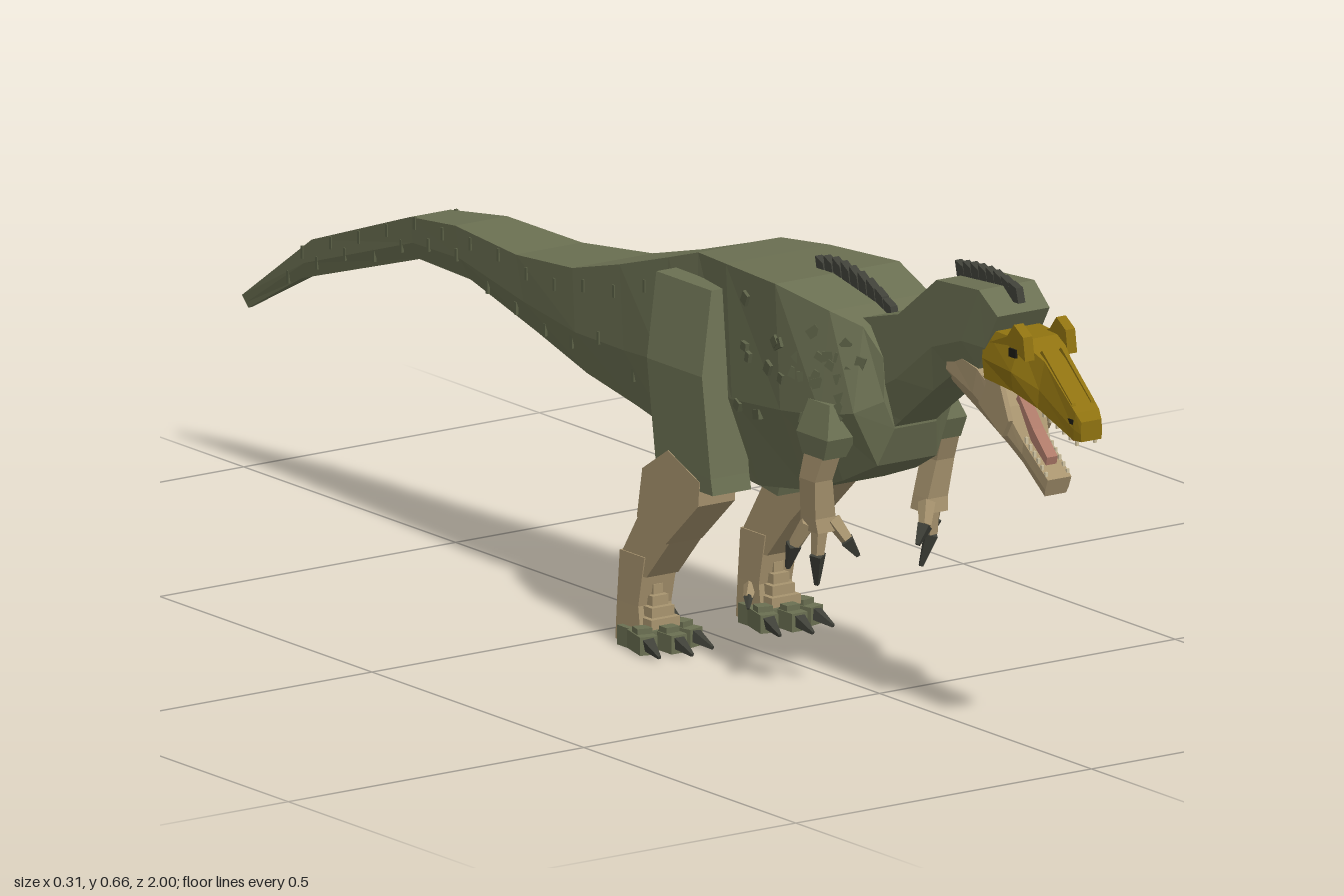
import * as THREE from 'three';

const mat = (name, color) => Object.assign(new THREE.MeshStandardMaterial({ color, flatShading: true }), { name });
const green = mat('hide green', 0x6b7052), darkGreen = mat('scale green', 0x5b6046);
const tan = mat('belly tan', 0xa8946f), gold = mat('mask gold', 0x8f7210);
const claw = mat('claw grey', 0x3f4038), pink = mat('mouth pink', 0xae7a69);
const ivory = mat('tooth ivory', 0xd0c3a0), black = mat('eye black', 0x1c1a14);

// Skin a list of rings, each counterclockwise about the direction of travel
function loft(rings) {
  const out = [], n = rings[0].length;
  const tri = (a, b, c) => out.push(...a, ...b, ...c);
  for (let i = 0; i < rings.length - 1; i++) {
    for (let j = 0; j < n; j++) {
      const k = (j + 1) % n, [r, s] = [rings[i], rings[i + 1]];
      tri(r[j], r[k], s[k]);
      tri(r[j], s[k], s[j]);
    }
  }
  const first = rings[0], last = rings[rings.length - 1];
  for (let j = 1; j < n - 1; j++) {
    tri(last[0], last[j], last[j + 1]);
    tri(first[0], first[j + 1], first[j]);
  }
  const g = new THREE.BufferGeometry();
  g.setAttribute('position', new THREE.Float32BufferAttribute(out, 3));
  g.computeVertexNormals();
  return g;
}

// Lengthwise body: [zTop, yTop, zBottom, yBottom, half widths at top, middle, bottom]
const trunk = (sections) => loft(sections.map(([zt, yt, zb, yb, wt, wm, wb]) => {
  const ym = yt + (yb - yt) * 0.6, zm = zt + (zb - zt) * 0.6;
  return [[wt, yt, zt], [-wt, yt, zt], [-wm, ym, zm], [-wb, yb, zb], [wb, yb, zb], [wm, ym, zm]];
}));

// Limb going down: [y, xInner, xOuter, zBack, zFront]
const limb = (sections) => loft(sections.map(([y, x0, x1, z0, z1]) =>
  [[x1, y, z1], [x0, y, z1], [x0, y, z0], [x1, y, z0]]));

// Flat side profile in (z, y), extruded across x
function slab(points, x, width) {
  const shape = new THREE.Shape(points.map(([z, y]) => new THREE.Vector2(z, y)));
  const g = new THREE.ExtrudeGeometry(shape, { depth: width, bevelEnabled: false });
  return g.rotateY(-Math.PI / 2).translate(x + width / 2, 0, 0);
}

const box = (w, h, d, x, y, z, rx = 0, ry = 0) =>
  new THREE.BoxGeometry(w, h, d).rotateX(rx).rotateY(ry).translate(x, y, z);

// Four-sided bar between two points, tapering from radius a to b
function bar(p, q, a, b) {
  const from = new THREE.Vector3(...p), dir = new THREE.Vector3(...q).sub(from);
  const g = new THREE.CylinderGeometry(b, a, dir.length(), 4).rotateY(Math.PI / 4);
  g.applyQuaternion(new THREE.Quaternion().setFromUnitVectors(new THREE.Vector3(0, 1, 0), dir.clone().normalize()));
  return g.translate(...from.addScaledVector(dir, 0.5).toArray());
}

function mirrored(geo) {
  const g = geo.index ? geo.toNonIndexed() : geo.clone();
  const p = g.attributes.position, a = new THREE.Vector3(), b = new THREE.Vector3();
  g.scale(-1, 1, 1);
  for (let i = 0; i < p.count; i += 3) {
    a.fromBufferAttribute(p, i + 1);
    b.fromBufferAttribute(p, i + 2);
    p.setXYZ(i + 1, b.x, b.y, b.z);
    p.setXYZ(i + 2, a.x, a.y, a.z);
  }
  g.computeVertexNormals();
  return g;
}

const BODY = [
  [-1, 0.245, -0.985, 0.23, 0.003, 0.003, 0.003],
  [-0.82, 0.364, -0.85, 0.302, 0.014, 0.014, 0.01],
  [-0.56, 0.455, -0.55, 0.396, 0.034, 0.034, 0.025],
  [-0.44, 0.47, -0.42, 0.396, 0.044, 0.044, 0.032],
  [-0.28, 0.465, -0.25, 0.36, 0.056, 0.056, 0.042],
  [-0.13, 0.48, -0.12, 0.33, 0.068, 0.068, 0.05],
  [-0.016, 0.51, 0, 0.31, 0.07, 0.07, 0.052],
  [0.1, 0.545, 0.08, 0.295, 0.07, 0.075, 0.055],
  [0.17, 0.567, 0.2, 0.272, 0.07, 0.085, 0.06],
  [0.26, 0.573, 0.3, 0.262, 0.088, 0.095, 0.06],
  [0.4, 0.577, 0.42, 0.282, 0.105, 0.105, 0.065],
  [0.5, 0.557, 0.5, 0.312, 0.085, 0.1, 0.062],
  [0.545, 0.54, 0.565, 0.345, 0.06, 0.085, 0.05],
  [0.575, 0.5, 0.585, 0.4, 0.047, 0.05, 0.035],
];

// Flank point at z, a fraction t of the way down from the back
function flank(z, t) {
  let i = 0;
  while (i < BODY.length - 2 && BODY[i + 1][0] < z) i++;
  const f = (z - BODY[i][0]) / (BODY[i + 1][0] - BODY[i][0]);
  const [, yt, , yb, wt, wm, wb] = BODY[i].map((v, k) => v + (BODY[i + 1][k] - v) * f);
  return [t < 0.6 ? wt + (wm - wt) * t / 0.6 : wm + (wb - wm) * (t - 0.6) / 0.4, yt + (yb - yt) * t, z];
}

export function createModel() {
  const model = new THREE.Group();
  const add = (name, geo, material) => {
    const m = new THREE.Mesh(geo, material);
    m.name = name;
    model.add(m);
  };
  const pair = (name, geo, material) => {
    add(name + 'Left', geo, material);
    add(name + 'Right', mirrored(geo), material);
  };

  // Torso with tail, belly keel and neck
  add('torsoAndTail', trunk(BODY), green);
  add('bellyKeel', slab([[0.065, 0.31], [0.075, 0.273], [0.25, 0.257], [0.315, 0.247], [0.33, 0.29]], 0, 0.08), green);
  add('neck', trunk([
    [0.5, 0.54, 0.53, 0.36, 0.047, 0.047, 0.035],
    [0.61, 0.57, 0.6, 0.415, 0.047, 0.047, 0.035],
    [0.7, 0.638, 0.68, 0.475, 0.047, 0.047, 0.038],
    [0.8, 0.645, 0.73, 0.51, 0.047, 0.047, 0.04],
    [0.84, 0.615, 0.79, 0.53, 0.044, 0.044, 0.04],
  ]), green);

  // Head: gold upper skull and snout, brow ridges, eyes
  add('skull', trunk([
    [0.8, 0.592, 0.81, 0.522, 0.038, 0.046, 0.045],
    [0.88, 0.588, 0.87, 0.515, 0.034, 0.046, 0.04],
    [0.92, 0.565, 0.91, 0.497, 0.022, 0.027, 0.026],
    [0.99, 0.507, 0.985, 0.467, 0.02, 0.021, 0.02],
    [1, 0.495, 1, 0.467, 0.017, 0.018, 0.017],
  ]), gold);
  pair('browRidge', slab([[0.82, 0.575], [0.865, 0.58], [0.905, 0.565], [0.9, 0.598], [0.878, 0.612], [0.862, 0.592]], 0.036, 0.016), gold);
  pair('snoutRidge', slab([[0.9, 0.57], [0.985, 0.505], [0.98, 0.518], [0.91, 0.578]], 0.016, 0.006), gold);
  pair('eye', box(0.004, 0.012, 0.016, 0.045, 0.572, 0.878), black);
  pair('nostril', box(0.003, 0.007, 0.012, 0.02, 0.493, 0.98), black);
  add('palate', slab([[0.84, 0.513], [0.91, 0.492], [0.98, 0.464], [0.98, 0.47], [0.84, 0.525]], 0, 0.032), pink);

  // Lower jaw, throat and tongue
  add('lowerJaw', trunk([
    [0.72, 0.545, 0.715, 0.495, 0.043, 0.043, 0.03],
    [0.79, 0.53, 0.77, 0.468, 0.043, 0.042, 0.028],
    [0.842, 0.485, 0.835, 0.43, 0.034, 0.033, 0.022],
    [0.87, 0.44, 0.865, 0.41, 0.022, 0.022, 0.019],
    [0.925, 0.397, 0.915, 0.372, 0.02, 0.02, 0.018],
  ]), tan);
  pair('cheek', slab([[0.78, 0.525], [0.84, 0.517], [0.86, 0.47], [0.845, 0.445], [0.79, 0.48]], 0.036, 0.008), tan);
  add('tongue', slab([[0.83, 0.485], [0.87, 0.436], [0.905, 0.412], [0.908, 0.424], [0.875, 0.457], [0.84, 0.5]], 0, 0.018), pink);
  for (let i = 0; i < 6; i++) {
    const f = i / 5;
    pair('lowerTooth', box(0.004, 0.01, 0.004, 0.018, 0.442 - 0.04 * f, 0.872 + 0.046 * f), ivory);
    pair('upperTooth', box(0.004, 0.01, 0.004, 0.019 - 0.004 * f, 0.49 - 0.026 * f, 0.915 + 0.072 * f), ivory);
  }

  // Spines on the nape and shoulders, leaning back
  const spine = (z, y, h) => add('spine', slab([[z - 0.008, y - 0.012], [z + 0.01, y - 0.012], [z + 0.004, y + h * 0.6], [z - 0.014, y + h]], 0, 0.012), claw);
  for (let i = 0; i < 8; i++) spine(0.7 + i * 0.018, 0.643 - Math.max(0, i - 5) * 0.002, 0.014 + 0.006 * Math.sin(i / 7 * Math.PI));
  for (let i = 0; i < 10; i++) {
    const z = 0.37 + i * 0.02;
    spine(z, flank(z, 0)[1], 0.016 + 0.012 * Math.sin(i / 9 * Math.PI));
  }

  // Raised scales on the flanks and bars along the tail
  let seed = 7;
  const rnd = () => (seed = (seed * 16807) % 2147483647) / 2147483647;
  for (let i = 0; i < 32; i++) {
    const [x, y, z] = flank(0.3 + 0.25 * rnd(), 0.12 + 0.55 * rnd());
    const yaw = z > 0.42 ? -0.6 : 0.1;
    pair('flankScale', box(0.008, 0.01 + 0.012 * rnd(), 0.014, x, y, z, rnd() * 2, yaw), darkGreen);
  }
  for (let i = 0; i < 26; i++) {
    const [x, y, z] = flank(-0.88 + i * 0.037, i % 2 ? 0.12 + 0.1 * rnd() : 0.5 + 0.3 * rnd());
    pair('tailBar', box(0.004, 0.018, 0.005, x, y, z), darkGreen);
  }

  // Hind legs
  pair('thigh', limb([
    [0.535, 0.06, 0.105, 0.12, 0.25],
    [0.42, 0.065, 0.134, 0.138, 0.268],
    [0.28, 0.07, 0.135, 0.16, 0.29],
    [0.257, 0.07, 0.135, 0.17, 0.295],
  ]), green);
  pair('knee', slab([[0.265, 0.27], [0.19, 0.3], [0.13, 0.262], [0.117, 0.19], [0.185, 0.165], [0.262, 0.235]], 0.105, 0.062), tan);
  pair('shin', slab([[0.2, 0.2], [0.118, 0.2], [0.07, 0.127], [0.072, 0.1], [0.13, 0.105], [0.187, 0.168]], 0.102, 0.054), tan);
  pair('ankle', limb([
    [0.133, 0.073, 0.131, 0.07, 0.128],
    [0.06, 0.074, 0.13, 0.062, 0.112],
    [0.004, 0.074, 0.13, 0.058, 0.12],
  ]), tan);
  for (let i = 0; i < 4; i++) pair('ankleScute', box(0.016 + 0.011 * i, 0.014, 0.02, 0.102, 0.083 - i * 0.015, 0.11 + i * 0.006), tan);

  // Feet with three spread toes, claws and a dewclaw
  pair('footPad', box(0.074, 0.028, 0.06, 0.102, 0.014, 0.105), green);
  for (const k of [-1, 0, 1]) {
    const x = 0.102 + k * 0.034, z = k ? 0.13 : 0.145, yaw = k * 0.25;
    pair('toe', box(0.026, 0.026, 0.05, x, 0.015, z, 0, yaw), green);
    pair('toeKnuckle', box(0.022, 0.01, 0.02, x, 0.031, z, 0, yaw), green);
    const tipX = x + k * 0.005;
    pair('toeClaw', bar([tipX, 0.018, z + 0.02], [tipX + k * 0.006, 0.006, z + 0.056], 0.012, 0.003), claw);
  }
  pair('dewToe', bar([0.076, 0.055, 0.09], [0.064, 0.04, 0.1], 0.01, 0.007), tan);
  pair('dewClaw', bar([0.065, 0.042, 0.1], [0.056, 0.028, 0.112], 0.007, 0.002), claw);

  // Arms with three clawed fingers
  pair('upperArm', limb([
    [0.43, 0.07, 0.102, 0.475, 0.525],
    [0.385, 0.068, 0.118, 0.468, 0.542],
    [0.355, 0.078, 0.116, 0.48, 0.53],
  ]), green);
  pair('forearm', limb([
    [0.375, 0.085, 0.115, 0.488, 0.535],
    [0.32, 0.088, 0.118, 0.475, 0.512],
    [0.265, 0.078, 0.112, 0.47, 0.505],
    [0.245, 0.075, 0.11, 0.468, 0.508],
  ]), tan);
  const fingers = [
    [[0.08, 0.26, 0.5], [0.066, 0.232, 0.515], [0.05, 0.208, 0.52]],
    [[0.094, 0.25, 0.49], [0.096, 0.21, 0.488], [0.088, 0.163, 0.475]],
    [[0.107, 0.255, 0.48], [0.118, 0.222, 0.462], [0.116, 0.185, 0.445]],
  ];
  for (const [root, mid, tip] of fingers) {
    pair('finger', bar(root, mid, 0.012, 0.009), tan);
    pair('fingerClaw', bar(mid, tip, 0.012, 0.004), claw);
  }
  return model;
}
